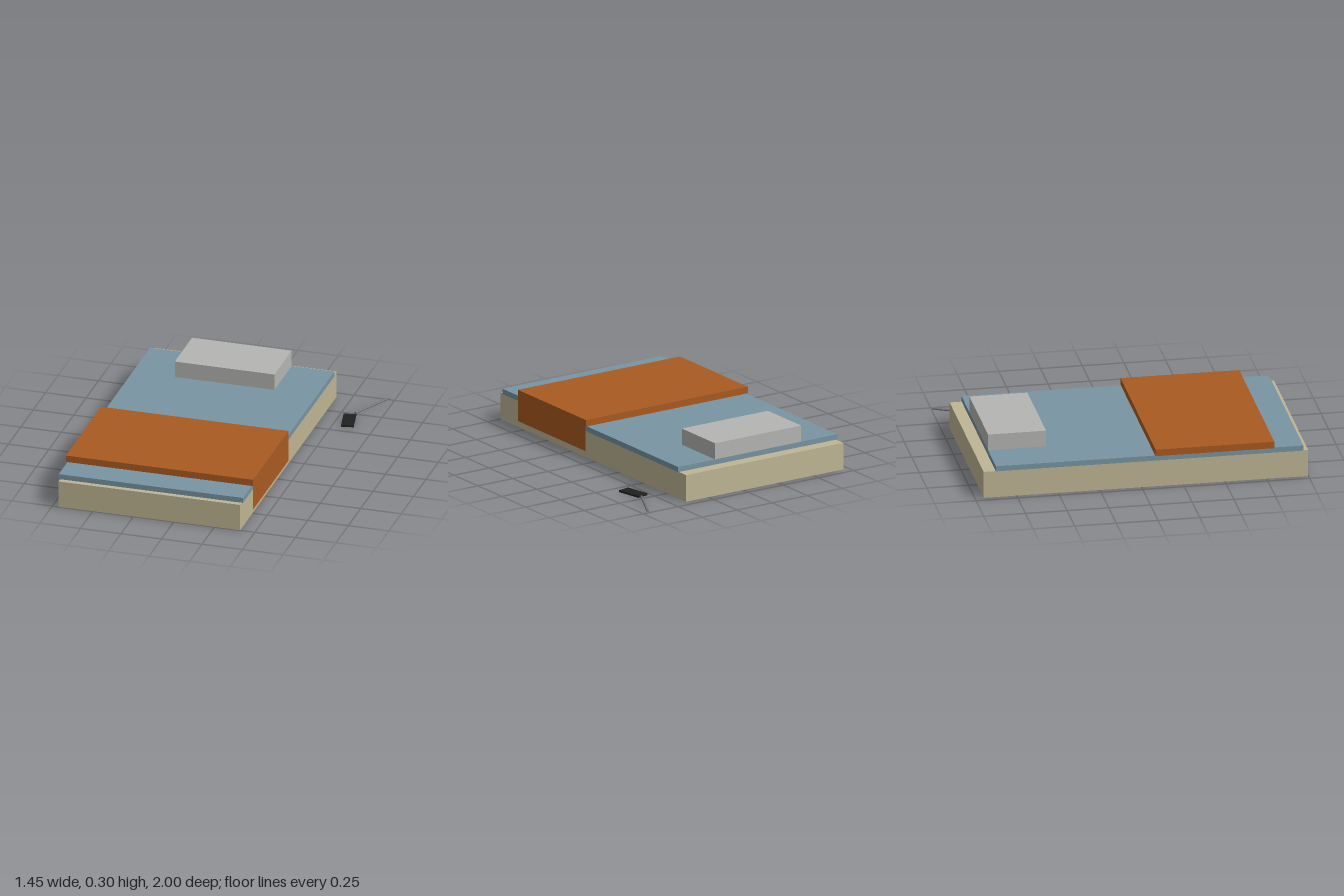
import * as THREE from 'three';

const mat = (name, color, extra = {}) => {
  const m = new THREE.MeshStandardMaterial({ color, ...extra });
  m.name = name;
  return m;
};

export function createModel() {
  const model = new THREE.Group();
  model.name = 'bed';

  const tan = mat('tan mattress', 0xc0b694);
  const blue = mat('blue sheet', 0x7894a3);
  const orange = mat('rust blanket', 0xaa5a20, { side: THREE.DoubleSide });
  const grey = mat('pale grey pillow', 0xb5b5b3);
  const black = mat('black', 0x202020);
  const steel = mat('steel grey', 0x777777);

  const add = (name, geometry, material) => {
    const mesh = new THREE.Mesh(geometry, material);
    mesh.name = name;
    model.add(mesh);
    return mesh;
  };

  // Box given by its limits on each axis
  const slab = (name, material, [x0, x1], [y0, y1], [z0, z1]) => {
    const mesh = add(name, new THREE.BoxGeometry(x1 - x0, y1 - y0, z1 - z0), material);
    mesh.position.set((x0 + x1) / 2, (y0 + y1) / 2, (z0 + z1) / 2);
    return mesh;
  };

  // Bedding layers
  slab('mattress', tan, [-0.713, 0.409], [0, 0.165], [-0.948, 0.998]);
  slab('sheet', blue, [-0.72, 0.417], [0.166, 0.198], [-0.876, 0.968]);
  slab('blanket', orange, [-0.73, 0.426], [0.198, 0.239], [0.08, 0.792]);
  slab('pillow', grey, [-0.461, 0.154], [0.198, 0.298], [-0.876, -0.528]);

  // Thin side of the blanket hanging over the left edge
  const drape = add('blanketDrape', new THREE.PlaneGeometry(0.712, 0.193), orange);
  drape.rotation.y = Math.PI / 2;
  drape.position.set(0.4265, 0.1425, 0.436);

  // Small flat block lying on the floor
  const block = add('floorBlock', new THREE.BoxGeometry(0.075, 0.012, 0.16), black);
  block.position.set(0.577, 0.006, -0.641);
  block.rotation.y = 0.2;

  // Thin rod beside it
  const start = new THREE.Vector3(0.588, 0.011, -0.742);
  const end = new THREE.Vector3(0.716, 0.011, -0.997);
  const dir = end.clone().sub(start);
  const rod = add('floorRod', new THREE.CylinderGeometry(0.007, 0.007, dir.length(), 12), steel);
  rod.position.copy(start).add(end).multiplyScalar(0.5);
  rod.quaternion.setFromUnitVectors(new THREE.Vector3(0, 1, 0), dir.normalize());

  return model;
}
